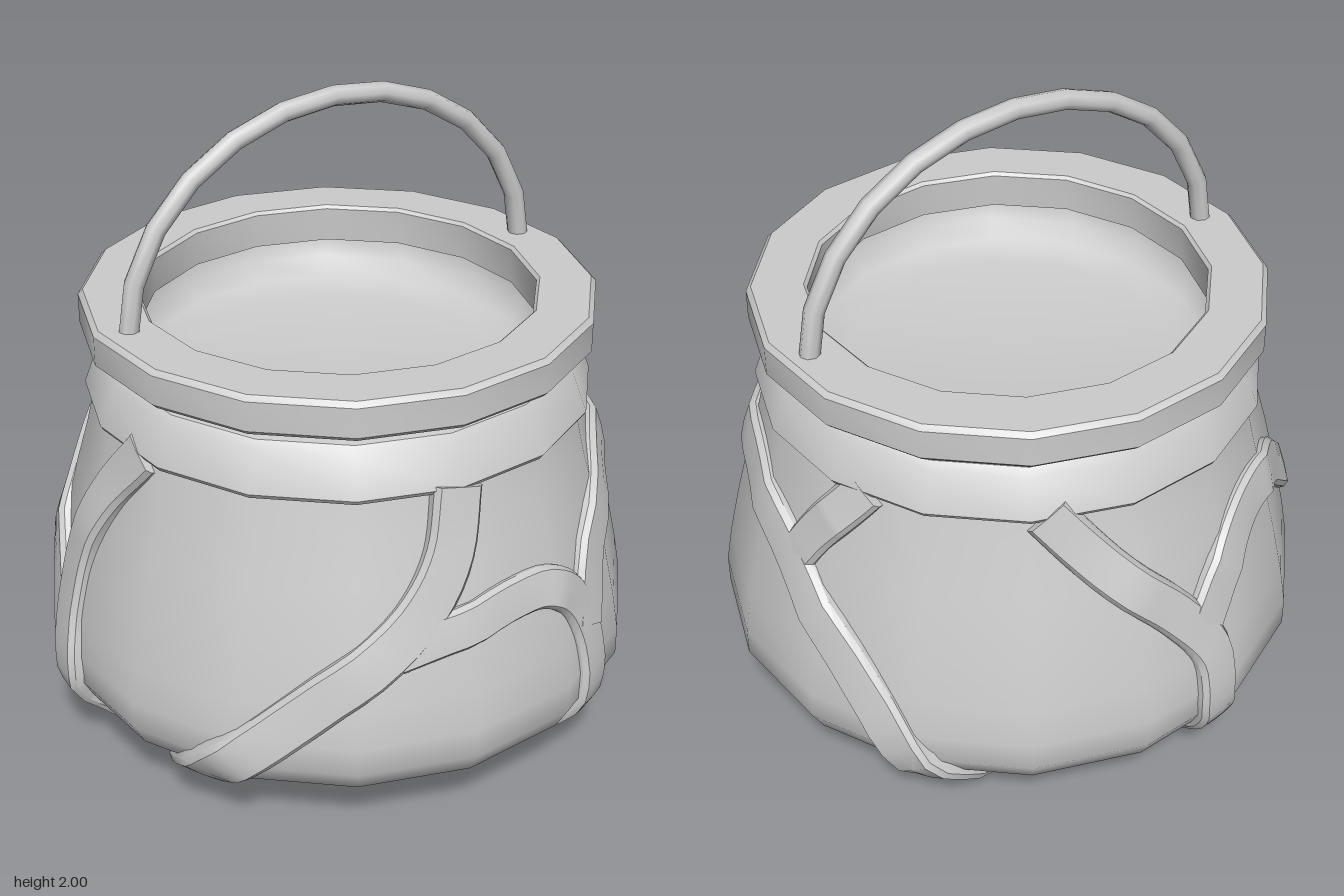
import * as THREE from 'three';
import { toCreasedNormals } from 'three/addons/utils/BufferGeometryUtils.js';

const SIDES = 16;
const material = new THREE.MeshStandardMaterial({ color: 0xcccccc });

// Outer wall of the pot, [radius, height], from the foot up to the neck
const WALL = [[0.61, 0.05], [0.78, 0.13], [0.87, 0.2], [0.91, 0.27], [0.91, 0.36], [0.89, 0.48],
  [0.855, 0.64], [0.81, 0.82], [0.77, 0.96], [0.74, 1.09]];

function addMesh(group, name, geometry) {
  const mesh = new THREE.Mesh(geometry, material);
  mesh.name = name;
  group.add(mesh);
}

function turned(profile, crease = 0.75) {
  const points = profile.map(([r, y]) => new THREE.Vector2(r, y));
  return toCreasedNormals(new THREE.LatheGeometry(points, SIDES), crease);
}

function wallRadius(y) {
  for (let i = 1; i < WALL.length; i++) {
    const [r0, y0] = WALL[i - 1], [r1, y1] = WALL[i];
    if (y <= y1) return r0 + (r1 - r0) * Math.max(0, (y - y0) / (y1 - y0));
  }
  return WALL[WALL.length - 1][0];
}

// Point on the many-sided wall
function wallPoint(angle, y) {
  const step = (2 * Math.PI) / SIDES;
  const inFace = angle - Math.floor(angle / step) * step - step / 2;
  const r = wallRadius(y) * Math.cos(step / 2) / Math.cos(inFace);
  return new THREE.Vector3(r * Math.sin(angle), y, r * Math.cos(angle));
}

// Smoothed outward direction of the wall
function wallNormal(angle, y) {
  const lo = Math.max(0.05, y - 0.06), hi = Math.min(1.09, y + 0.06);
  const slope = (wallRadius(hi) - wallRadius(lo)) / (hi - lo);
  return new THREE.Vector3(Math.sin(angle), -slope, Math.cos(angle)).normalize();
}

// Raised strip that follows the wall; path is a list of [degrees, height]
function strip(path, width, height) {
  const k = 0.015; // wall units per degree, to space the curve evenly
  const curve = new THREE.CatmullRomCurve3(path.map(([a, y]) => new THREE.Vector3(a * k, y, 0)));
  const section = [[-1, -0.06], [-1, height * 0.4], [-0.82, height], [0, height * 1.1],
    [0.82, height], [1, height * 0.4], [1, -0.06]];
  const at = (t) => {
    const p = curve.getPoint(t);
    return [THREE.MathUtils.degToRad(p.x / k), p.y];
  };
  const rows = 30, positions = [], index = [];
  for (let i = -1; i <= rows + 1; i++) {
    const t = THREE.MathUtils.clamp(i / rows, 0, 1);
    const isEnd = i < 0 || i > rows;
    const centre = wallPoint(...at(t));
    const normal = wallNormal(...at(t));
    const along = wallPoint(...at(Math.min(1, t + 0.03))).sub(wallPoint(...at(Math.max(0, t - 0.03))));
    const across = normal.clone().cross(along).normalize();
    for (const [s, h] of section) {
      const p = centre.clone().addScaledVector(across, s * width / 2).addScaledVector(normal, isEnd ? -0.06 : h);
      positions.push(p.x, p.y, p.z);
    }
  }
  const n = section.length;
  for (let i = 0; i < rows + 2; i++) {
    for (let j = 0; j < n - 1; j++) {
      const a = i * n + j, b = a + 1, c = a + n, d = c + 1;
      index.push(a, c, b, b, c, d);
    }
  }
  const geometry = new THREE.BufferGeometry();
  geometry.setAttribute('position', new THREE.Float32BufferAttribute(positions, 3));
  geometry.setIndex(index);
  return toCreasedNormals(geometry, 0.6);
}

export function createModel() {
  const model = new THREE.Group();
  model.name = 'cauldron';

  // Pot
  addMesh(model, 'foot', turned([[0, 0], [0.585, 0], [0.6, 0.015], [0.6, 0.06]]));
  addMesh(model, 'body', turned(WALL));
  addMesh(model, 'neckBand', turned([[0.72, 1.08], [0.76, 1.08], [0.77, 1.095], [0.725, 1.215],
    [0.705, 1.235], [0.675, 1.24], [0.67, 1.29]], 0.6));
  addMesh(model, 'rim', turned([[0.66, 1.28], [0.76, 1.28], [0.775, 1.295], [0.775, 1.385],
    [0.76, 1.4], [0.605, 1.4], [0.595, 1.39], [0.6, 1.28], [0.66, 1.27]], 0.6));
  addMesh(model, 'interior', turned([[0.66, 1.28], [0.65, 1.2], [0.6, 1.15], [0.5, 1.125], [0, 1.11]], 1.2));

  // Branching strips around the wall
  const strips = new THREE.Group();
  strips.name = 'strips';
  model.add(strips);
  addMesh(strips, 'frontDiagonalStrip', strip([[45, 1.09], [42, 0.9], [34, 0.72], [17, 0.52],
    [0, 0.3], [-10, 0.18], [-25, 0.05]], 0.15, 0.03));
  addMesh(strips, 'leftSmallArch', strip([[30, 0.64], [42, 0.68], [56, 0.71], [65, 0.7], [72, 0.62],
    [76, 0.48], [76.5, 0.28], [75, 0.13], [71, 0.05]], 0.13, 0.028));
  addMesh(strips, 'leftLargeArch', strip([[76, 0.5], [83, 0.71], [100, 0.87], [117, 0.89], [134, 0.85],
    [148, 0.75], [161, 0.6], [172, 0.42], [180, 0.25], [188, 0.13], [195, 0.05]], 0.15, 0.03));
  addMesh(strips, 'backBranch', strip([[147, 0.74], [154, 0.9], [165, 1.09]], 0.13, 0.028));
  addMesh(strips, 'backRightStrip', strip([[206, 1.09], [218, 0.9], [233, 0.68], [241, 0.5],
    [242, 0.28], [245, 0.13], [249, 0.05]], 0.14, 0.03));
  addMesh(strips, 'rightArch', strip([[238, 0.56], [250, 0.78], [262, 0.85], [275, 0.83],
    [288, 0.69], [300, 0.53], [311, 0.4]], 0.15, 0.028));
  addMesh(strips, 'frontRightStrip', strip([[330, 1.09], [320, 0.92], [314, 0.72], [313, 0.5],
    [315, 0.3], [314, 0.15], [318, 0.05]], 0.14, 0.03));

  // Hoop handle, set diagonally across the rim
  const arc = [];
  for (let i = 0; i <= 12; i++) {
    const a = Math.PI * (i / 12);
    const reach = -Math.cos(a);
    arc.push(new THREE.Vector3(-0.025 + 0.435 * reach, 1.37 + 0.602 * Math.sin(a), -0.025 - 0.53 * reach));
  }
  const hoop = new THREE.TubeGeometry(new THREE.CatmullRomCurve3(arc), 12, 0.031, 8);
  addMesh(model, 'handle', hoop);

  return model;
}
